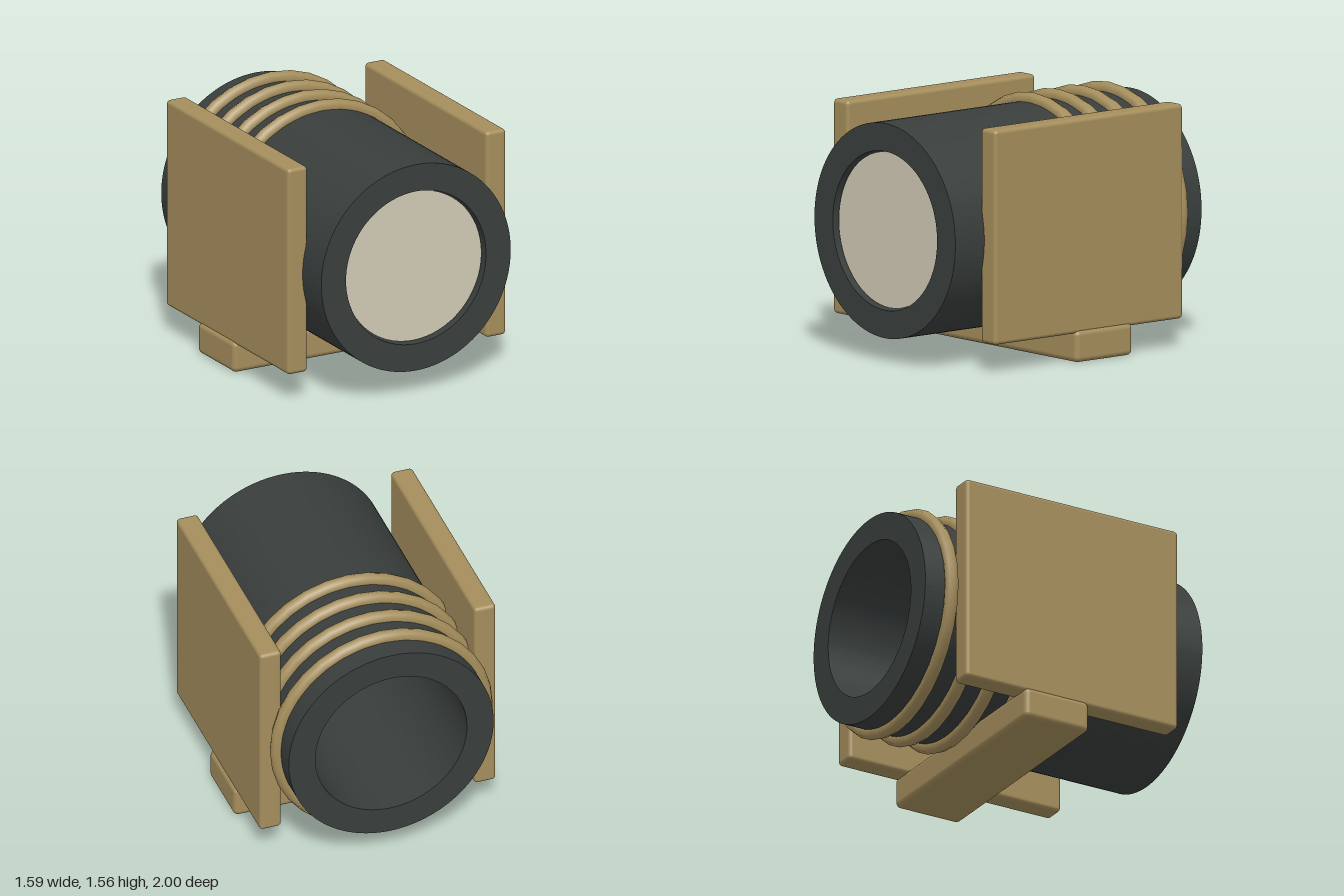
import * as THREE from 'three';
import { RoundedBoxGeometry } from 'three/addons/geometries/RoundedBoxGeometry.js';

export function createModel() {
  const group = new THREE.Group();
  const wood = new THREE.MeshStandardMaterial({ color: 0xa58e5c });
  const dark = new THREE.MeshStandardMaterial({ color: 0x393e3d });
  const pale = new THREE.MeshStandardMaterial({ color: 0xd1cab5, side: THREE.DoubleSide });
  const axisY = 0.828, outer = 0.676, inner = 0.5;

  function add(name, geometry, material, x, y, z) {
    const mesh = new THREE.Mesh(geometry, material);
    mesh.name = name;
    mesh.position.set(x, y, z);
    group.add(mesh);
    return mesh;
  }

  // Hollow barrel running along z
  const ring = new THREE.Shape().absarc(0, 0, outer, 0, Math.PI * 2, false);
  ring.holes.push(new THREE.Path().absarc(0, 0, inner, 0, Math.PI * 2, true));
  const barrel = new THREE.ExtrudeGeometry(ring, { depth: 2, bevelEnabled: false, curveSegments: 64 });
  add('barrel', barrel, dark, 0, axisY, -1);

  // Pale disc just inside the front opening
  add('frontDisc', new THREE.CircleGeometry(0.49, 64), pale, 0, axisY, 0.96);

  // Raised grip rings towards the back
  const gripRing = new THREE.TorusGeometry(0.69, 0.045, 8, 32);
  [-0.82, -0.615, -0.41, -0.207].forEach((z, i) => add('gripRing' + (i + 1), gripRing, wood, 0, axisY, z));

  // Side plates
  const plate = new RoundedBoxGeometry(0.143, 1.35, 1.53, 4, 0.025);
  for (const side of [-1, 1]) {
    add(side > 0 ? 'leftPlate' : 'rightPlate', plate, wood, side * 0.708, 0.857, 0);
  }

  // Cross bar underneath
  add('baseBar', new RoundedBoxGeometry(1.59, 0.203, 0.462, 4, 0.035), wood, 0, 0.1015, -0.115);

  return group;
}
